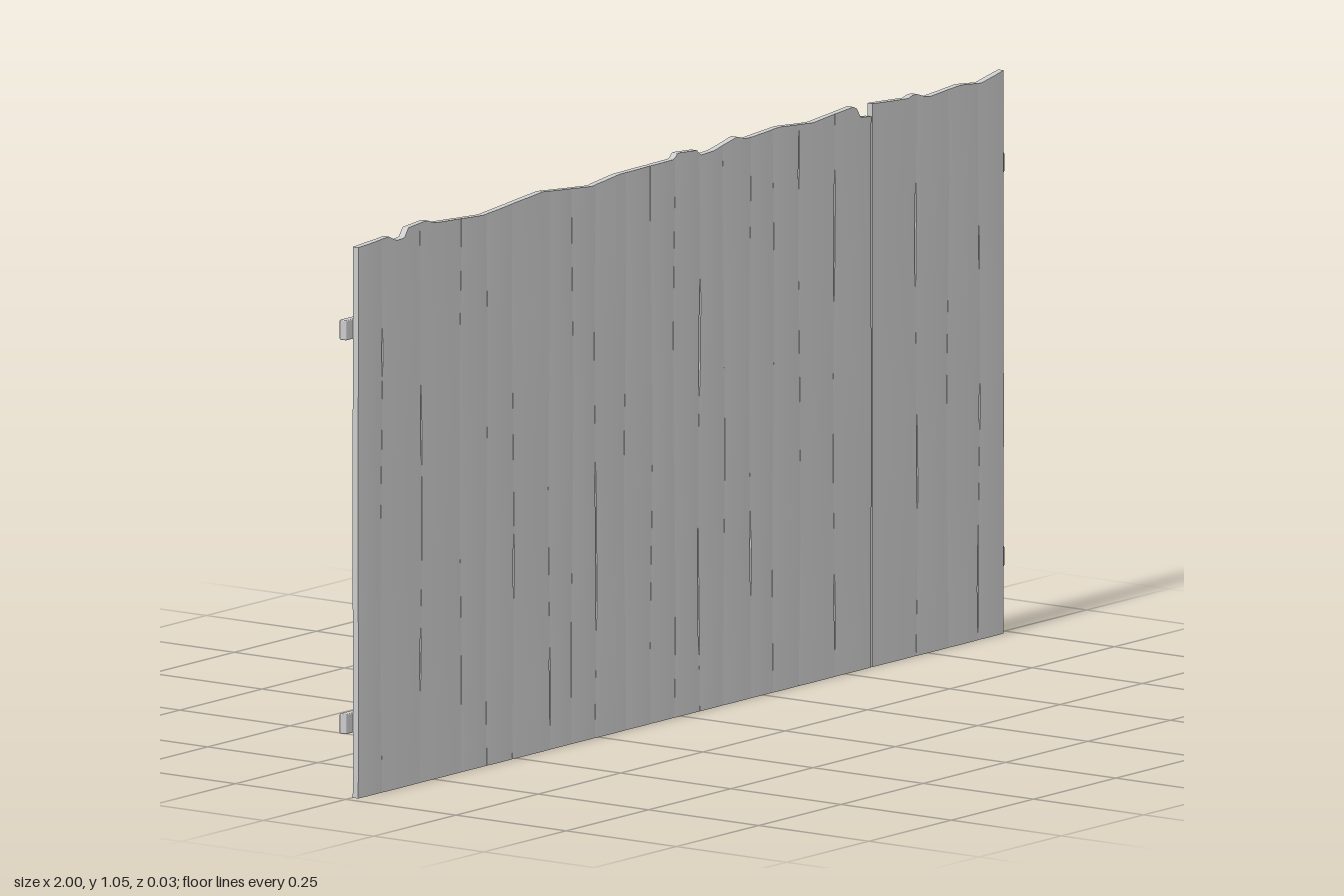
import * as THREE from 'three';
import { RoundedBoxGeometry } from 'three/addons/geometries/RoundedBoxGeometry.js';

const material = new THREE.MeshStandardMaterial({ color: 0xcccccc });

// Weathered top edge, as x, y points
const topEdge = [
  [-0.98, 1.02], [-0.88, 1.026], [-0.87, 1.015], [-0.84, 1.016], [-0.83, 1.033], [-0.77, 1.038],
  [-0.75, 1.03], [-0.6, 1.021], [-0.42, 1.036], [-0.27, 1.023], [-0.19, 1.032], [-0.02, 1.034],
  [-0.01, 1.044], [0.05, 1.04], [0.06, 1.029], [0.1, 1.031], [0.17, 1.046], [0.2, 1.038],
  [0.3, 1.044], [0.4, 1.036], [0.53, 1.047], [0.545, 1.024], [0.578, 1.02], [0.582, 1.043],
  [0.69, 1.036], [0.71, 1.042], [0.75, 1.029], [0.85, 1.036], [0.91, 1.03], [0.98, 1.043],
];

// Seams between neighbouring boards
const seams = [-0.98, -0.91, -0.79, -0.67, -0.59, -0.51, -0.4, -0.33, -0.26, -0.17, -0.09, -0.02,
  0.055, 0.13, 0.21, 0.28, 0.36, 0.465, 0.58, 0.715, 0.81, 0.905, 0.98];

// Open slits: seam x, from y, to y
const slits = [
  [-0.91, 0.75, 0.84], [-0.79, 0.58, 0.7], [-0.79, 0.16, 0.26], [-0.51, 0.3, 0.4],
  [-0.4, 0.04, 0.17], [-0.26, 0.2, 0.5], [0.055, 0.1, 0.32], [0.055, 0.58, 0.76],
  [0.21, 0.19, 0.3], [0.36, 0.88, 0.97], [0.465, 0.68, 0.9], [0.465, 0.05, 0.17],
  [0.58, -1, 2], [0.715, 0.26, 0.41], [0.715, 0.67, 0.84], [0.905, 0.02, 0.16],
  [0.905, 0.39, 0.44], [0.905, 0.68, 0.74],
];

function topAt(x) {
  const i = Math.max(1, topEdge.findIndex((p) => p[0] >= x - 1e-6));
  const [a, b] = [topEdge[i - 1], topEdge[i]];
  return THREE.MathUtils.mapLinear(x, a[0], b[0], a[1], b[1]);
}

// Seam centre wanders slightly with height, outer edges stay straight
function seamAt(i, y) {
  const inner = i > 0 && i < seams.length - 1 && seams[i] !== 0.58;
  return seams[i] + (inner ? 0.003 * Math.sin(y * 7 + i * 2.3) : 0);
}

function gapAt(i, y) {
  return slits.some(([x, y0, y1]) => x === seams[i] && y > y0 && y < y1) ? 0.002 : 0;
}

// One board: a subdivided box with crowned faces and a worn top
function makeBoard(i) {
  const geometry = new THREE.BoxGeometry(1, 1, 1, 10, 32, 1);
  const p = geometry.attributes.position;
  for (let k = 0; k < p.count; k++) {
    const u = p.getX(k) + 0.5;
    const v = p.getY(k) + 0.5;
    const left = seamAt(i, v) + gapAt(i, v);
    const right = seamAt(i + 1, v) - gapAt(i + 1, v);
    const x = left + (right - left) * u;
    const y = v * topAt(x);
    const crown = (2 * u - 1) ** 2;
    const warp = 0.0004 * Math.sin(v * 9 + i * 1.7);
    const z = p.getZ(k) > 0
      ? 0.0142 - 0.0008 * crown + warp
      : 0.0004 + 0.001 * crown * (0.6 + 0.4 * Math.sin(i * 2.1)) + warp;
    p.setXYZ(k, x, y, z);
  }
  geometry.computeVertexNormals();
  const board = new THREE.Mesh(geometry, material);
  board.name = `board${i + 1}`;
  return board;
}

export function createModel() {
  const model = new THREE.Group();
  model.name = 'fencePanel';

  const boards = new THREE.Group();
  boards.name = 'boards';
  for (let i = 0; i < seams.length - 1; i++) boards.add(makeBoard(i));
  model.add(boards);

  // Two horizontal rails across the back
  for (const [name, y] of [['lowerRail', 0.139], ['upperRail', 0.868]]) {
    const rail = new THREE.Mesh(new RoundedBoxGeometry(2, 0.037, 0.0155, 2, 0.002), material);
    rail.name = name;
    rail.position.set(0, y, -0.0068);
    model.add(rail);
  }
  return model;
}
